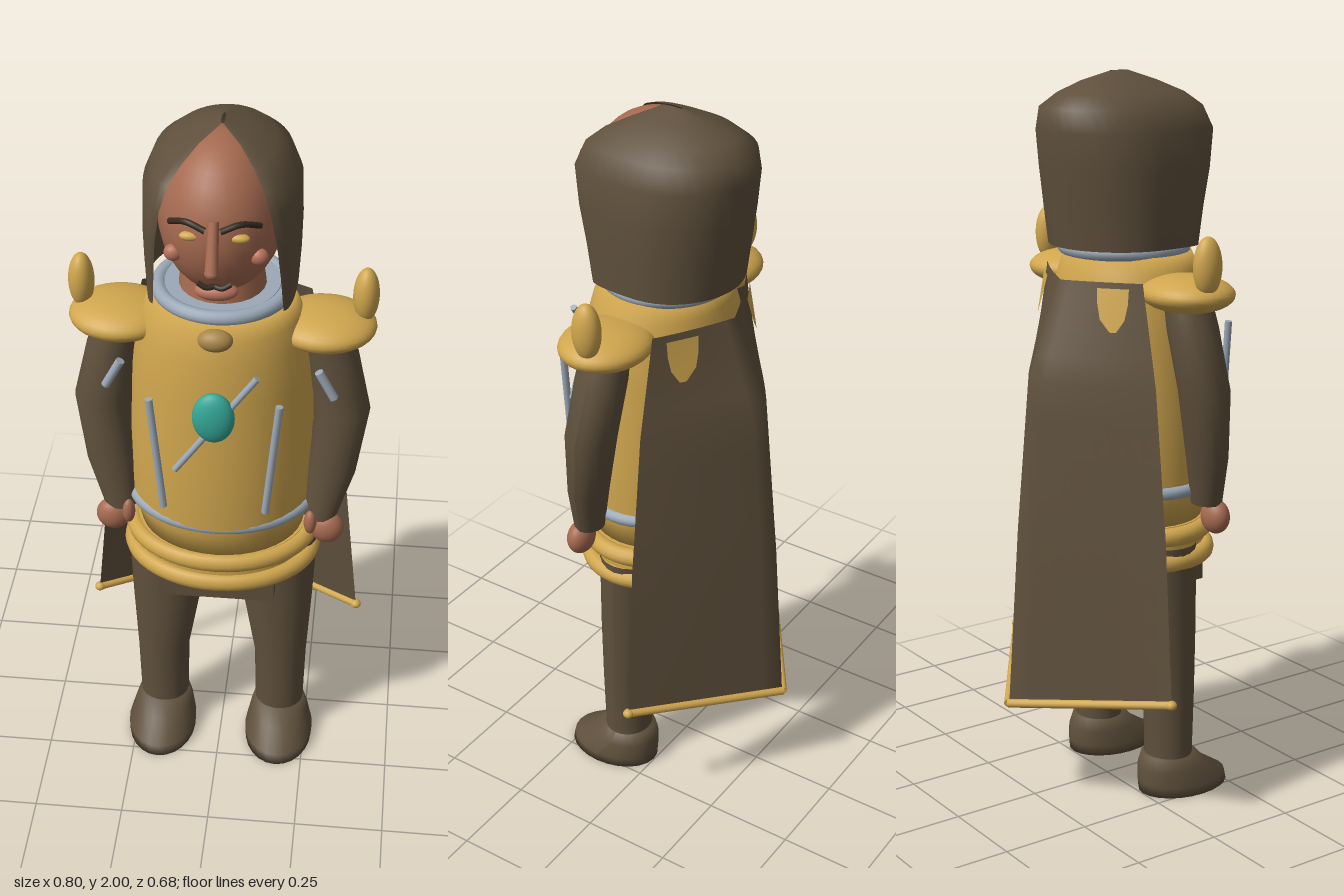
import * as THREE from 'three';

const mat = (name, color, double) => {
  const m = new THREE.MeshStandardMaterial({ color });
  m.name = name;
  if (double) m.side = THREE.DoubleSide;
  return m;
};
const V = (x, y, z) => new THREE.Vector3(x, y, z);

export function createModel() {
  const model = new THREE.Group();
  model.name = 'cloakedWarrior';
  const brown = mat('brownCloth', 0x5f503c, true);
  const gold = mat('gold', 0xd0a64e, true);
  const bronze = mat('bronze', 0xa8874a);
  const skin = mat('skin', 0xa56a50);
  const blush = mat('blush', 0xb5705a);
  const silver = mat('silver', 0x9ba8b6);
  const teal = mat('teal', 0x35a898);
  const hair = mat('darkHair', 0x33291f);

  const add = (name, geo, material, x = 0, y = 0, z = 0) => {
    const m = new THREE.Mesh(geo, material);
    m.name = name;
    m.position.set(x, y, z);
    model.add(m);
    return m;
  };
  const ball = (name, material, x, y, z, rx, ry, rz) =>
    add(name, new THREE.SphereGeometry(1, 28, 18).scale(rx, ry, rz), material, x, y, z);
  const rod = (name, material, a, b, r, r2 = r) => {
    const d = b.clone().sub(a);
    const m = add(name, new THREE.CylinderGeometry(r2, r, d.length(), 12), material);
    m.position.copy(a).addScaledVector(d, 0.5);
    m.quaternion.setFromUnitVectors(V(0, 1, 0), d.normalize());
    return m;
  };
  const tube = (name, material, pts, r) =>
    add(name, new THREE.TubeGeometry(new THREE.CatmullRomCurve3(pts), 16, r, 8), material);
  const ring = (name, material, y, z, rx, rz, t) =>
    add(name, new THREE.TorusGeometry(rx, t, 12, 48).rotateX(Math.PI / 2).scale(1, 1, rz / rx), material, 0, y, z);

  // Surface through rows of points of equal length
  const loft = (rows) => {
    const n = rows[0].length, pos = [], idx = [];
    rows.forEach((r) => r.forEach((p) => pos.push(p.x, p.y, p.z)));
    for (let i = 0; i < rows.length - 1; i++)
      for (let j = 0; j < n - 1; j++) {
        const a = i * n + j, b = a + n;
        idx.push(a, a + 1, b, a + 1, b + 1, b);
      }
    const g = new THREE.BufferGeometry();
    g.setAttribute('position', new THREE.Float32BufferAttribute(pos, 3));
    g.setIndex(idx);
    g.computeVertexNormals();
    return g;
  };
  // Closed elliptical cross-section
  const oval = (x, y, z, rx, rz, n = 24) => Array.from({ length: n + 1 }, (_, i) => {
    const a = (-i / n) * Math.PI * 2;
    return V(x + rx * Math.cos(a), y, z + rz * Math.sin(a));
  });

  // Breastplate
  const profile = [[0, .79], [.225, .79], [.24, .86], [.25, .9], [.247, 1.1], [.238, 1.3], [.226, 1.42],
    [.208, 1.48], [.188, 1.525], [0, 1.53]].map(([r, y]) => new THREE.Vector2(r, y));
  add('breastplate', new THREE.LatheGeometry(profile, 40).scale(1, 1, 0.86), gold, 0, 0, .07);
  ring('belt', silver, .895, .07, .247, .2, .018);
  ring('upperSkirtRing', gold, .77, .07, .245, .2, .026);
  ring('lowerSkirtRing', gold, .7, .07, .25, .2, .026);
  add('skirtBand', new THREE.CylinderGeometry(.235, .24, .11, 36).scale(1, 1, .84), gold, 0, .74, .07);
  add('tunic', new THREE.BoxGeometry(.315, .14, .28), brown, 0, .665, .077);

  // Chest ornaments
  ball('collarStud', bronze, 0, 1.488, .245, .045, .03, .03);
  ball('gem', teal, 0, 1.287, .3, .055, .075, .03);
  rod('sashBar', silver, V(-.1, 1.12, .31), V(.11, 1.41, .29), .009);

  // Neck
  add('neck', new THREE.CylinderGeometry(.1, .12, .14, 24), skin, 0, 1.57, .06);
  ring('collarRing', silver, 1.535, .055, .165, .16, .02);
  add('collarPlate', new THREE.CylinderGeometry(.15, .165, .03, 32), silver, 0, 1.535, .055);

  // Head and face
  ball('head', skin, 0, 1.775, .08, .16, .21, .195);
  rod('nose', skin, V(0, 1.85, .275), V(0, 1.735, .325), .013, .017);
  ball('noseTip', skin, 0, 1.735, .322, .018, .015, .018);
  ball('mouth', blush, 0, 1.617, .215, .055, .024, .03);

  // Paired parts
  for (const s of [-1, 1]) {
    const side = s > 0 ? 'left' : 'right';
    ball(side + 'Eye', gold, s * .06, 1.795, .255, .026, .012, .014);
    tube(side + 'Brow', hair, [V(s * .11, 1.825, .24), V(s * .065, 1.845, .275), V(s * .018, 1.832, .292)], .008);
    ball(side + 'Cheek', blush, s * .105, 1.725, .22, .024, .022, .02);
    tube(side + 'Moustache', hair, [V(0, 1.656, .257), V(s * .02, 1.656, .265), V(s * .042, 1.668, .262)], .007);

    // Shoulder guard with horn
    ball(side + 'ShoulderGuard', gold, s * .265, 1.44, .07, .136, .05, .12);
    ball(side + 'ShoulderHorn', gold, s * .368, 1.525, .055, .034, .078, .04);

    // Arm and hand
    add(side + 'Arm', loft([
      oval(s * .275, .86, .135, .045, .04), oval(s * .3, 1.0, .115, .065, .052),
      oval(s * .322, 1.19, .085, .073, .068), oval(s * .29, 1.35, .07, .068, .07), oval(s * .265, 1.43, .07, .06, .065),
    ]), brown);
    ball(side + 'Hand', skin, s * .295, .825, .15, .047, .048, .035);
    ball(side + 'Thumb', skin, s * .25, .85, .165, .018, .038, .02);
    rod(side + 'ArmBar', silver, V(s * .3, 1.265, .155), V(s * .258, 1.345, .155), .012);
    rod(side + 'ChestBar', silver, V(s * .135, .98, .292), V(s * .167, 1.325, .288), .01);

    // Leg and boot
    add(side + 'Leg', loft([
      oval(s * .172, .09, .09, .07, .066), oval(s * .172, .3, .09, .075, .07),
      oval(s * .16, .5, .078, .098, .086), oval(s * .15, .74, .065, .118, .098),
    ]), brown);
    add(side + 'Boot', loft([
      oval(s * .175, 0, .14, .001, .001), oval(s * .175, 0, .14, .098, .138), oval(s * .175, .03, .135, .1, .135),
      oval(s * .173, .075, .1, .085, .1), oval(s * .172, .11, .09, .073, .078), oval(s * .172, .115, .09, .001, .001),
    ]), brown);
  }

  // Hood rows: [y, side x, side z, back z, front edge x, front edge z]
  const hoodRows = [
    [1.545, .192, .03, -.15, .165, .18], [1.65, .198, .03, -.165, .158, .2], [1.75, .2, .03, -.18, .15, .225],
    [1.85, .197, .03, -.192, .135, .245], [1.91, .172, .03, -.188, .115, .225], [1.945, .13, .03, -.14, .088, .185],
    [1.975, .072, .04, -.075, .05, .125], [2, .005, .045, .01, .001, .065],
  ].map(([y, sx, sz, bz, ex, ez]) => {
    const half = [];
    for (let i = 0; i <= 10; i++) {
      const u = (i / 10) * Math.PI / 2;
      half.push(V(sx * Math.sin(u), y, sz + (bz - sz) * Math.cos(u)));
    }
    for (let i = 1; i <= 8; i++) {
      const u = (i / 8) * Math.PI / 2;
      half.push(V(ex + (sx - ex) * Math.cos(u), y, sz + (ez - sz) * Math.sin(u)));
    }
    const mirrored = half.slice(1).reverse().map((p) => V(-p.x, p.y, p.z));
    return [...mirrored, ...half].reverse();
  });
  add('hood', loft(hoodRows), brown);

  // Cape rows: [edge y, centre y, half width, edge z, centre z]
  const capeRows = [[.355, .295, .385, -.06, -.33], [.8, .79, .34, -.05, -.295],
    [1.2, 1.2, .285, -.045, -.255], [1.47, 1.46, .225, -.045, -.15]];
  const capePoint = (u, v) => {
    const f = Math.min(v * 3, 2.9999), i = Math.floor(f);
    const [ye, yc, w, ze, zc] = capeRows[i].map((a, k) => THREE.MathUtils.lerp(a, capeRows[i + 1][k], f - i));
    const t = 1 - Math.abs(u);
    return V(u * w, ye + (yc - ye) * t, ze + (zc - ze) * (t + v * .25 * t * (1 - t)));
  };
  const capeGrid = [];
  for (let j = 0; j <= 12; j++)
    capeGrid.push(Array.from({ length: 17 }, (_, i) => capePoint(1 - i / 8, j / 12)));
  add('cape', loft(capeGrid), brown);

  // Gold hem and shoulder patches of the cape
  for (const s of [-1, 1]) {
    rod('capeHem', gold, capePoint(s, 0), V(0, .295, -.333), .012);
    ball('capeHemEnd', gold, s * .385, .355, -.06, .015, .013, .015);
    const patch = [[.98, .5, .86], [.93, .52, .84], [.88, .56, .8], [.84, .66, .72]].map(([v, a, b]) =>
      [a, (a + b) / 2, b].map((u) => capePoint(s * u, v).add(V(s * .004, .002, -.008))));
    add('capePatch', loft(patch), gold);
  }
  return model;
}
